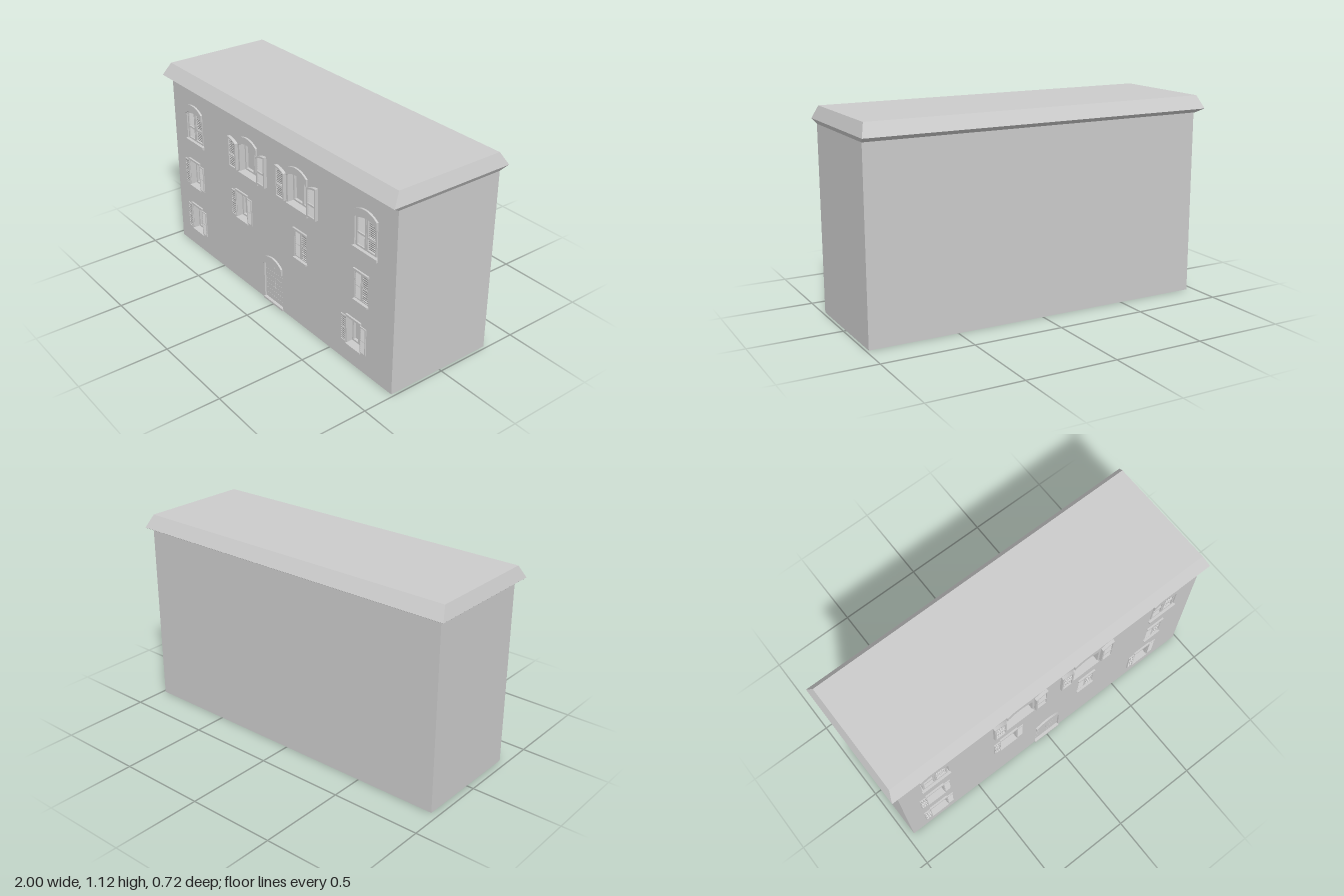
import * as THREE from 'three';

const FRONT = 0.32, BACK = -0.315, RECESS = 0.27, X0 = -0.96, X1 = 0.985, EAVE = 1.025;
const mat = new THREE.MeshStandardMaterial({ color: 0xcccccc, flatShading: true });

// Openings: x centre, bottom y, half width, spring height above bottom, arch rise
const arched = { w: 0.085, h: 0.157, rise: 0.03, leaf: 0.075, slats: 15, thick: 0.018 };
const plain = { w: 0.054, h: 0.165, rise: 0, leaf: 0.043, slats: 12, thick: 0.006 };
const windows = [
  { ...arched, x: -0.743, y: 0.708, open: false },
  { ...arched, x: -0.205, y: 0.708, open: true },
  { ...arched, x: 0.233, y: 0.708, open: true },
  { ...arched, x: 0.767, y: 0.708, open: false },
  { ...plain, x: -0.767, y: 0.408, open: true },
  { ...plain, x: -0.28, y: 0.408, open: true },
  { ...plain, x: 0.254, y: 0.408, open: false },
  { ...plain, x: 0.742, y: 0.408, open: false },
  { ...plain, x: -0.767, y: 0.112, open: true },
  { ...plain, x: 0.693, y: 0.112, open: true },
];
const door = { x: 0.002, y: 0.012, w: 0.085, h: 0.215, rise: 0.033 };

function add(parent, name, geometry, x = 0, y = 0, z = 0) {
  const mesh = new THREE.Mesh(geometry, mat);
  mesh.name = name;
  mesh.position.set(x, y, z);
  parent.add(mesh);
  return mesh;
}
const box = (w, h, d) => new THREE.BoxGeometry(w, h, d);
const extrude = (shape, depth) => new THREE.ExtrudeGeometry(shape, { depth, bevelEnabled: false });

// Height of a segmental arch above its springing, at x from the centre
function archAt(x, w, rise) {
  if (!rise) return 0;
  const r = (w * w + rise * rise) / (2 * rise);
  return Math.sqrt(r * r - x * x) - (r - rise);
}

// Region between two bottoms/tops given as functions of x
function region(x0, x1, bottom, top, n = 12) {
  const pts = [];
  for (let i = 0; i <= n; i++) { const x = x0 + (x1 - x0) * i / n; pts.push(new THREE.Vector2(x, bottom(x))); }
  for (let i = n; i >= 0; i--) { const x = x0 + (x1 - x0) * i / n; pts.push(new THREE.Vector2(x, top(x))); }
  return pts;
}
const openingPoints = (o, inset = 0) => region(-o.w + inset, o.w - inset, () => inset,
  x => o.h - inset + archAt(x, o.w, o.rise), o.rise ? 12 : 1);

// Louvred leaf, hinge at local x = 0 and meeting edge at x = leaf
function shutterLeaf(o) {
  const g = new THREE.Group();
  const rim = o.leaf * 0.13, n = o.rise ? 6 : 1;
  const top = u => o.h - 0.004 + archAt(o.leaf - u, o.w, o.rise);
  const shape = new THREE.Shape(region(0, o.leaf, () => 0.004, top, n));
  shape.holes.push(new THREE.Path(region(rim, o.leaf - rim, () => 0.004 + rim, u => top(u) - rim, n)));
  add(g, 'shutterFrame', extrude(shape, o.thick), 0, 0, -o.thick / 2);
  const y0 = 0.004 + rim, y1 = top(o.leaf - rim) - rim, step = (y1 - y0) / o.slats;
  for (let i = 0; i < o.slats; i++) {
    const y = y0 + step * (i + 0.5);
    let u = rim;
    while (u < o.leaf - rim && top(u) - rim * 0.5 < y) u += 0.003;
    const len = o.leaf - rim - u;
    if (len < 0.006) continue;
    const slat = add(g, 'slat', box(len, step * 1.05, 0.002), u + len / 2, y, 0);
    slat.rotation.x = -0.5;
  }
  add(g, 'middleRail', box(o.leaf - rim * 2, rim, o.thick * 0.9), o.leaf / 2, o.h * 0.5, 0);
  return g;
}

// Curved hood band over an arched opening
function hood(parent, o) {
  const s = new THREE.Shape(region(-o.w, o.w,
    x => o.h + archAt(x, o.w, o.rise), x => o.h + 0.04 + archAt(x, o.w, o.rise)));
  add(parent, 'archHood', extrude(s, 0.012), 0, 0, FRONT - 0.001);
}

function buildWindow(o) {
  const g = new THREE.Group();
  g.name = o.rise ? 'archedWindow' : 'window';
  g.position.set(o.x, o.y, 0);
  // Recessed casement with two lights
  const frame = new THREE.Shape(openingPoints(o));
  frame.holes.push(new THREE.Path(openingPoints(o, 0.01)));
  add(g, 'casementFrame', extrude(frame, 0.015), 0, 0, RECESS);
  add(g, 'mullion', box(0.014, o.h + o.rise - 0.01, 0.015), 0, (o.h + o.rise) / 2, RECESS + 0.008);
  // Sill and head
  if (o.rise) {
    add(g, 'sill', box(0.18, 0.016, 0.055), 0, -0.008, 0.304);
    hood(g, o);
  } else {
    add(g, 'sill', box(0.112, 0.008, 0.055), 0, -0.004, 0.303);
    add(g, 'lintel', box(0.114, 0.012, 0.02), 0, o.h + 0.006, 0.32);
  }
  // Shutters, folded back on the wall or closed in the opening
  for (const side of [-1, 1]) {
    const leaf = shutterLeaf(o);
    leaf.name = side < 0 ? 'rightShutter' : 'leftShutter';
    const hinge = o.open ? o.w + (o.rise ? 0.011 : 0) : o.leaf + 0.001;
    leaf.position.set(side * hinge, 0, o.open ? FRONT + 0.002 + o.thick / 2 : FRONT - 0.002 - o.thick / 2);
    if ((side < 0) === o.open) leaf.rotation.y = Math.PI;
    // Wider closing leaves fill the plain openings
    if (!o.open && !o.rise) { leaf.scale.x = 1.22; leaf.position.x = side * (o.leaf * 1.22 + 0.0005); }
    g.add(leaf);
  }
  return g;
}

function buildDoor() {
  const g = new THREE.Group();
  g.name = 'door';
  g.position.set(door.x, door.y, 0);
  // Two planked leaves with narrow joints
  for (const side of [-1, 1]) {
    const a = side < 0 ? -door.w : 0.001, b = side < 0 ? -0.001 : door.w;
    const rows = 7, pitch = door.h / rows;
    for (let i = 0; i < rows; i++) {
      const y0 = i * pitch, last = i === rows - 1;
      const s = new THREE.Shape(region(a, b, () => y0,
        x => last ? door.h + archAt(x, door.w, door.rise) : y0 + pitch - 0.001, last ? 6 : 1));
      add(g, 'doorPlank', extrude(s, 0.04), 0, 0, RECESS);
    }
  }
  add(g, 'doorstep', box(0.175, 0.012, 0.056), 0, -0.006, 0.299);
  hood(g, door);
  return g;
}

// Roof slab from stacked rectangles: soffit, eaves edge, top
function roofGeometry() {
  const rings = [[X0 - 0.01, X1, EAVE, BACK, FRONT], [-1, 1, 1.05, -0.36, 0.36], [-0.975, 0.975, 1.12, -0.315, 0.315]];
  const pos = [], idx = [];
  for (const [a, b, y, c, d] of rings) pos.push(a, y, d, b, y, d, b, y, c, a, y, c);
  for (let r = 0; r < 2; r++) for (let i = 0; i < 4; i++) {
    const p = r * 4 + i, q = r * 4 + (i + 1) % 4;
    idx.push(p, q, q + 4, p, q + 4, p + 4);
  }
  idx.push(8, 9, 10, 8, 10, 11, 0, 2, 1, 0, 3, 2);
  const g = new THREE.BufferGeometry();
  g.setAttribute('position', new THREE.Float32BufferAttribute(pos, 3));
  g.setIndex(idx);
  const flat = g.toNonIndexed();
  flat.computeVertexNormals();
  return flat;
}

export function createModel() {
  const house = new THREE.Group();
  house.name = 'house';
  // Solid core behind a pierced front wall
  add(house, 'buildingCore', box(X1 - X0, EAVE, RECESS - BACK), (X0 + X1) / 2, EAVE / 2, (RECESS + BACK) / 2);
  const wall = new THREE.Shape(region(X0, X1, () => 0, () => EAVE, 1));
  for (const o of [...windows, door]) {
    wall.holes.push(new THREE.Path(openingPoints(o).map(p => p.add(new THREE.Vector2(o.x, o.y)))));
  }
  add(house, 'frontWall', extrude(wall, FRONT - RECESS), 0, 0, RECESS);
  add(house, 'roof', roofGeometry());
  for (const o of windows) house.add(buildWindow(o));
  house.add(buildDoor());
  return house;
}
